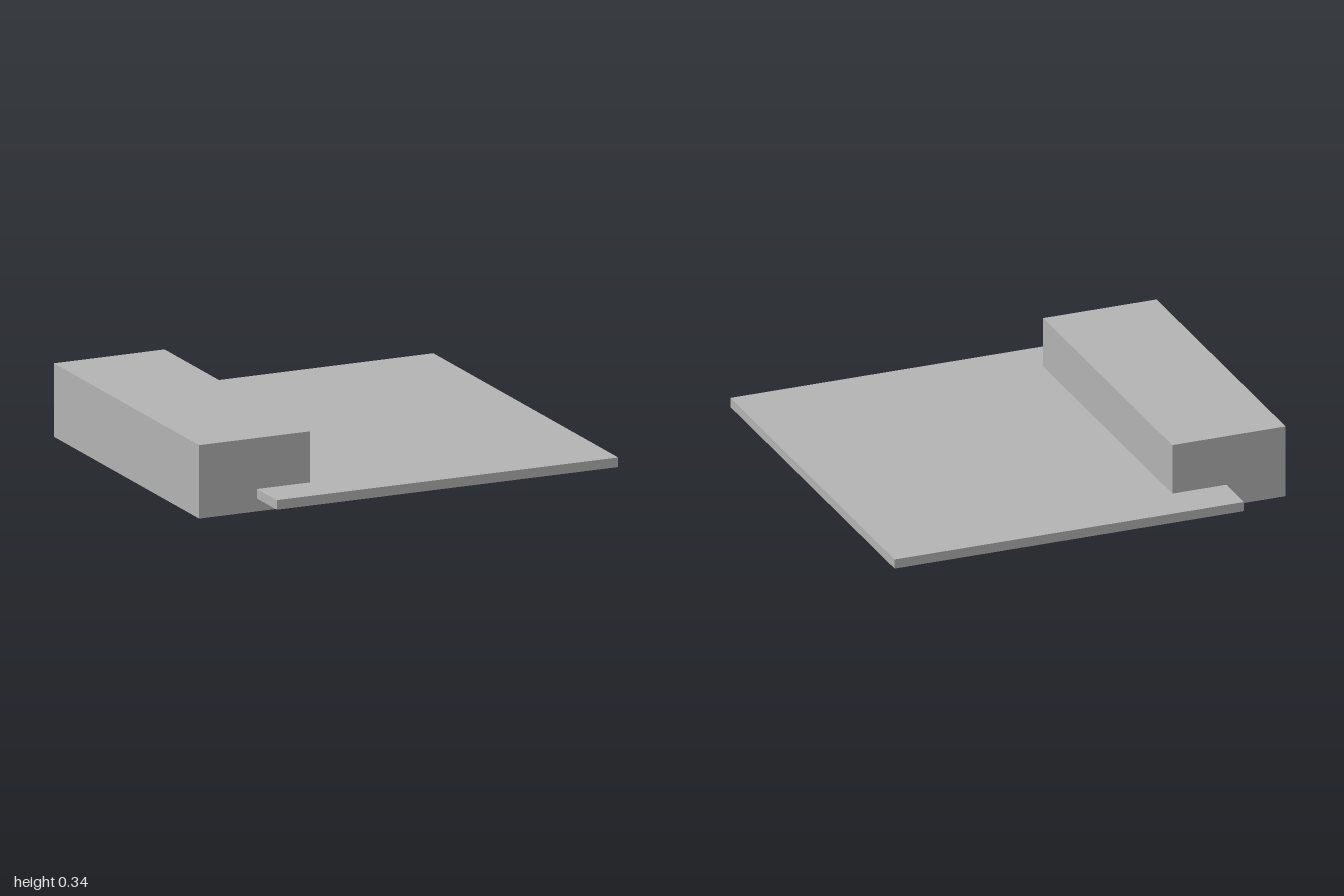
import * as THREE from 'three';

export function createModel() {
  const model = new THREE.Group();
  const grey = new THREE.MeshStandardMaterial({ color: 0xb3b3b3 });
  grey.name = 'plain grey';

  // Adds a box spanning the given limits, centred on z = 0
  function addBox(name, x0, x1, y0, y1, depth) {
    const mesh = new THREE.Mesh(new THREE.BoxGeometry(x1 - x0, y1 - y0, depth), grey);
    mesh.name = name;
    mesh.position.set((x0 + x1) / 2, (y0 + y1) / 2, 0);
    model.add(mesh);
  }

  // Long block along one side
  addBox('sideBlock', -1, -0.445, 0, 0.345, 1.545);
  // Thin plate running through the block
  addBox('flatPlate', -0.71, 1, 0.06, 0.105, 1.966);

  return model;
}
